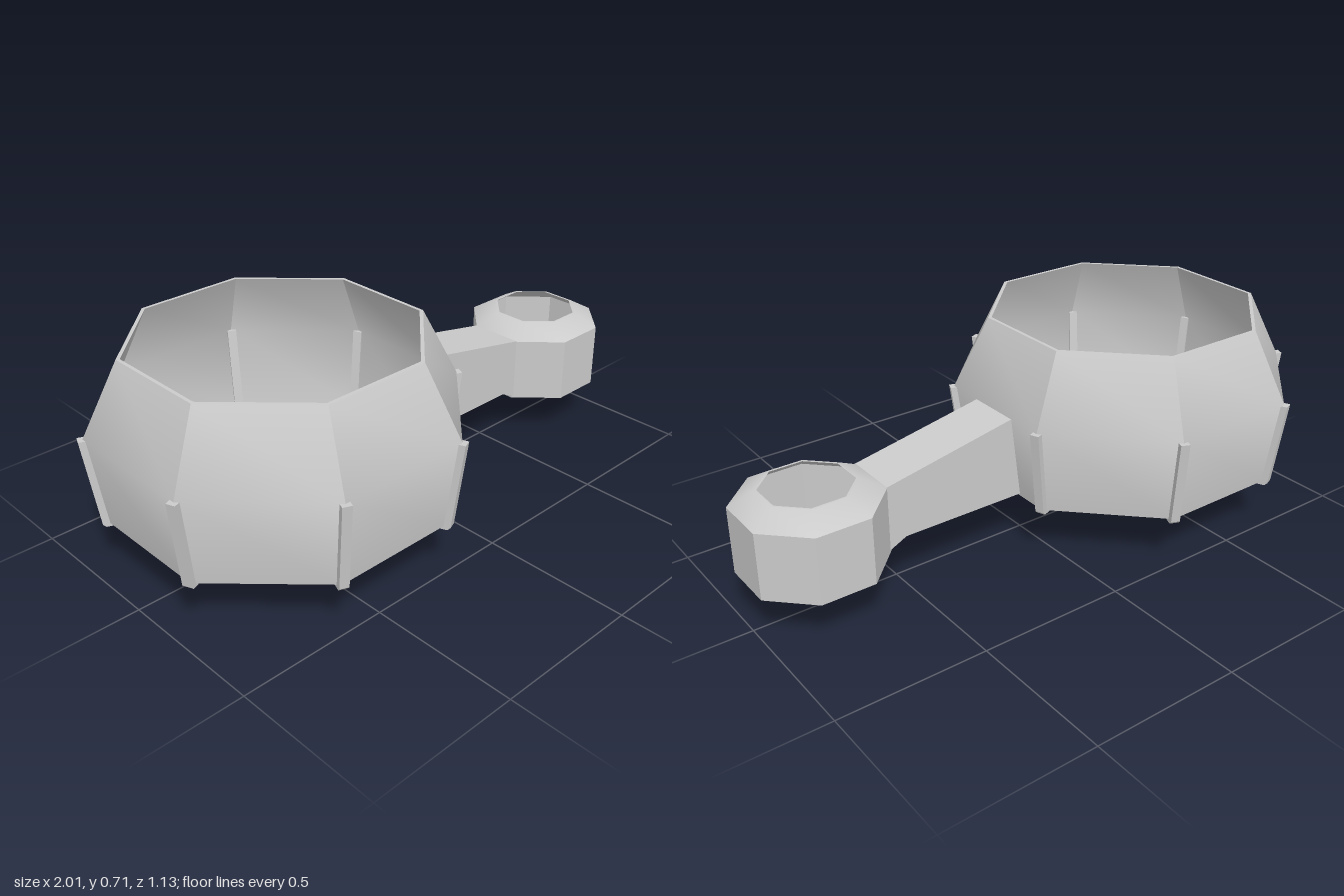
import * as THREE from 'three';
import { toCreasedNormals } from 'three/addons/utils/BufferGeometryUtils.js';

const BOWL_X = -0.44, CUP_X = 0.782;
const SEC = 1 / Math.cos(Math.PI / 8); // apothem to corner radius of an octagon
const material = new THREE.MeshStandardMaterial({ color: 0xcccccc });

function addMesh(parent, name, geometry, x = 0, y = 0, z = 0) {
  const mesh = new THREE.Mesh(geometry, material);
  mesh.name = name;
  mesh.position.set(x, y, z);
  parent.add(mesh);
  return mesh;
}

// Eight-sided vessel from a closed [apothem, y] profile
function octagonVessel(profile) {
  const points = profile.map(([a, y]) => new THREE.Vector2(a * SEC, y));
  return toCreasedNormals(new THREE.LatheGeometry(points, 8, Math.PI / 8), 0.65);
}

// Flat plate from an [x, y] outline, centred on z = 0
function plate(outline, depth) {
  const shape = new THREE.Shape(outline.map(([x, y]) => new THREE.Vector2(x, y)));
  return new THREE.ExtrudeGeometry(shape, { depth, bevelEnabled: false }).translate(0, 0, -depth / 2);
}

export function createModel() {
  const model = new THREE.Group();
  model.name = 'bowlWithSideCup';

  // Large open bowl: floor, flared wall, inward shoulder, then the inside
  addMesh(model, 'bowl', octagonVessel([
    [0, 0.187], [0.51, 0.187], [0.546, 0.478], [0.435, 0.712],
    [0.424, 0.712], [0.535, 0.476], [0.5, 0.199], [0, 0.199],
  ]), BOWL_X);

  // Ribs run from the hub along the floor and up each corner
  const ribs = new THREE.Group();
  ribs.name = 'ribs';
  ribs.position.x = BOWL_X;
  const ribOutline = [
    [0.03, 0.176], [0.558, 0.176], [0.568, 0.186], [0.606, 0.478],
    [0.566, 0.478], [0.53, 0.21], [0.03, 0.21],
  ];
  for (let i = 0; i < 8; i++) {
    addMesh(ribs, 'rib', plate(ribOutline, 0.03)).rotation.y = Math.PI / 8 + i * Math.PI / 4;
  }
  model.add(ribs);

  // Stem under the bowl, passing just through the floor
  const stem = toCreasedNormals(new THREE.CylinderGeometry(0.068, 0.062, 0.213, 10), 0.5);
  addMesh(model, 'stem', stem, BOWL_X, 0.1065);

  // Tapered arm between bowl and cup
  addMesh(model, 'arm', plate([
    [0.067, 0.195], [0.51, 0.195], [0.572, 0.165], [0.572, 0.387], [0.102, 0.478],
  ], 0.19));

  // Small cup with a sloping shoulder and an open mouth
  addMesh(model, 'cup', octagonVessel([
    [0, 0.16], [0.218, 0.16], [0.218, 0.385], [0.142, 0.43],
    [0.134, 0.43], [0.207, 0.38], [0.207, 0.171], [0, 0.171],
  ]), CUP_X);

  return model;
}
